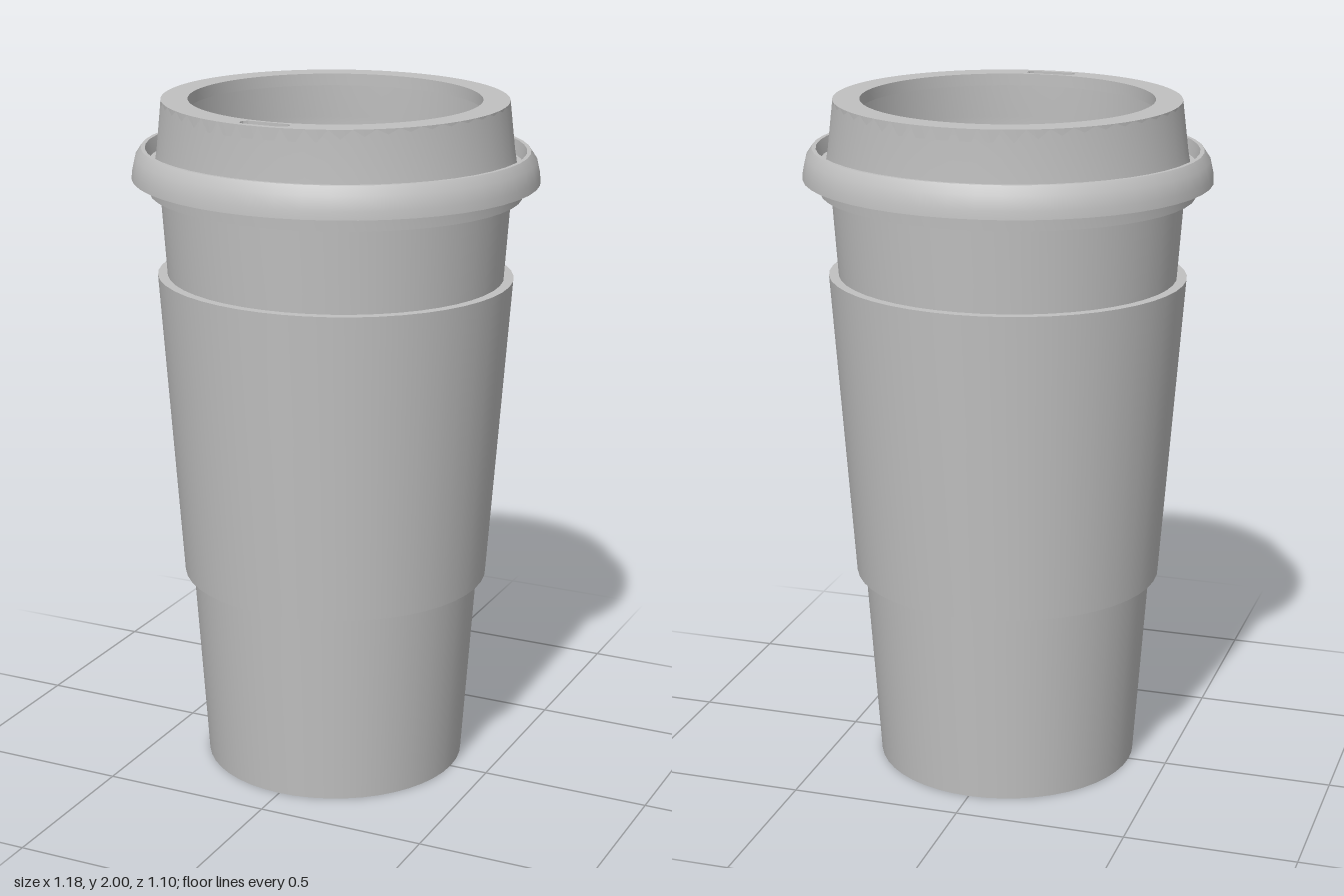
import * as THREE from 'three';
import { toCreasedNormals } from 'three/addons/utils/BufferGeometryUtils.js';

const SEGMENTS = 48;

// Revolves a profile of [radius in x, y, radius in z] into an oval ring
function ovalLathe(profile) {
  const points = profile.map(([rx, y]) => new THREE.Vector2(rx, y));
  const geometry = new THREE.LatheGeometry(points, SEGMENTS);
  const pos = geometry.attributes.position;
  for (let i = 0; i < pos.count; i++) {
    const [rx, , rz] = profile[i % profile.length];
    if (rx > 0) pos.setZ(i, pos.getZ(i) * rz / rx);
  }
  return toCreasedNormals(geometry, 0.5);
}

// Repeats the first point so the profile closes on itself
const closed = (profile) => [...profile, profile[0]];

// Lid top: oval plate with a wide opening and a sip slot near the front
function lidTopGeometry() {
  const plate = new THREE.Shape();
  plate.absellipse(0, 0, 0.497, 0.482, 0, Math.PI * 2);
  const opening = new THREE.Path();
  opening.absellipse(0, 0, 0.42, 0.408, 0, Math.PI * 2, true);
  const slot = new THREE.Path();
  const r = 0.021, half = 0.052, z = -0.44;
  slot.absarc(half, z, r, -Math.PI / 2, Math.PI / 2);
  slot.absarc(-half, z, r, Math.PI / 2, Math.PI * 1.5);
  slot.closePath();
  plate.holes.push(opening, slot);
  const geometry = new THREE.ExtrudeGeometry(plate, { depth: 0.035, bevelEnabled: false, curveSegments: SEGMENTS });
  geometry.rotateX(-Math.PI / 2);
  geometry.translate(0, 1.965, 0);
  return toCreasedNormals(geometry, 0.5);
}

export function createModel() {
  const group = new THREE.Group();
  const grey = new THREE.MeshStandardMaterial({ color: 0xc0c0c0 });
  grey.name = 'plain grey';

  const add = (name, geometry) => {
    const mesh = new THREE.Mesh(geometry, grey);
    mesh.name = name;
    group.add(mesh);
  };

  // Hollow cup, round at the foot and oval at the mouth, with a recessed base
  add('cup', ovalLathe([
    [0, 0.012, 0], [0.372, 0.012, 0.372], [0.374, 0, 0.374], [0.385, 0, 0.385],
    [0.427, 0.585, 0.414], [0.491, 1.485, 0.459], [0.51, 1.75, 0.472],
    [0.498, 1.75, 0.46], [0.378, 0.04, 0.378],
    [0.358, 0.04, 0.355], [0.355, 0.03, 0.352], [0, 0.03, 0],
  ]));

  // Tapered sleeve around the middle
  add('sleeve', ovalLathe(closed([
    [0.42, 0.585, 0.408], [0.452, 0.585, 0.44], [0.52, 1.49, 0.486], [0.485, 1.49, 0.453],
  ])));

  // Lid shell: skirt, curled rim, groove and raised wall
  add('lid', ovalLathe(closed([
    [0.498, 1.73, 0.46], [0.54, 1.73, 0.501], [0.543, 1.795, 0.505],
    [0.573, 1.795, 0.535], [0.58, 1.77, 0.542], [0.59, 1.772, 0.552],
    [0.588, 1.795, 0.55], [0.579, 1.835, 0.54], [0.562, 1.86, 0.523],
    [0.55, 1.86, 0.513], [0.54, 1.82, 0.505], [0.522, 1.82, 0.487],
    [0.515, 1.86, 0.484], [0.497, 2.0, 0.482],
    [0.48, 1.97, 0.465], [0.495, 1.86, 0.467], [0.505, 1.8, 0.47],
  ])));

  add('lidTop', lidTopGeometry());
  return group;
}
